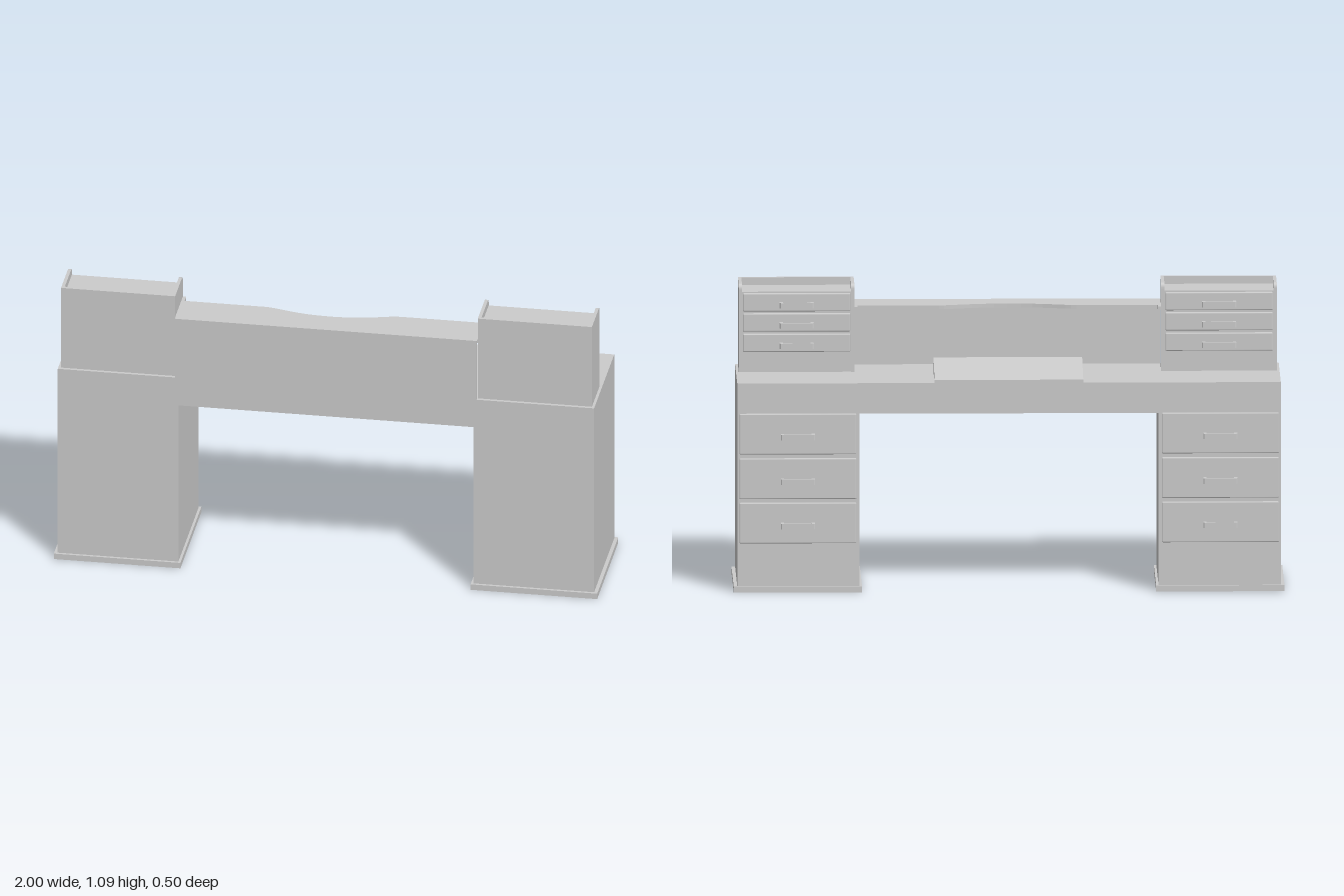
import * as THREE from 'three';
import { RoundedBoxGeometry } from 'three/addons/geometries/RoundedBoxGeometry.js';

const material = new THREE.MeshStandardMaterial({ color: 0xcccccc });

function part(parent, name, geometry, x = 0, y = 0, z = 0) {
  const mesh = new THREE.Mesh(geometry, material);
  mesh.name = name;
  mesh.position.set(x, y, z);
  parent.add(mesh);
  return mesh;
}

// Box given by its limits on each axis
function box(parent, name, [x0, x1], [y0, y1], [z0, z1]) {
  return part(parent, name, new THREE.BoxGeometry(x1 - x0, y1 - y0, z1 - z0),
    (x0 + x1) / 2, (y0 + y1) / 2, (z0 + z1) / 2);
}

const outline = (points) => new THREE.Shape(points.map(([a, b]) => new THREE.Vector2(a, b)));

function extrude(shape, depth) {
  return new THREE.ExtrudeGeometry(shape, { depth, bevelEnabled: false, curveSegments: 8 });
}

// Extrudes a (z, y) profile along x, centred on x = 0
const alongX = (shape, width) => extrude(shape, width).translate(0, 0, -width / 2).rotateY(-Math.PI / 2);

// Extrudes an (x, z) plan downwards from y = 0
const downwards = (shape, height) => extrude(shape, height).rotateX(Math.PI / 2);

// Bracket handle plan: two posts joined by a bar with chamfered corners
const handleGeometry = downwards(outline([
  [-0.062, 0], [-0.062, -0.026], [-0.058, -0.03], [0.058, -0.03], [0.062, -0.026], [0.062, 0],
  [0.05, 0], [0.05, -0.02], [-0.05, -0.02], [-0.05, 0],
]), 0.02).translate(0, 0.01, 0);

// Drawer front with its handle; zFront is the outer face
function drawer(parent, x, y0, y1, zFront, width) {
  const group = new THREE.Group();
  group.name = 'drawer';
  group.position.set(x, (y0 + y1) / 2, zFront);
  part(group, 'drawerFront', new RoundedBoxGeometry(width, y1 - y0, 0.018, 2, 0.004), 0, 0, 0.009);
  part(group, 'drawerHandle', handleGeometry, 0, -0.008, 0.001);
  parent.add(group);
}

// Small drawer unit standing on the desk top, with a railed tray on top
function cabinet(x) {
  const group = new THREE.Group();
  group.name = 'topCabinet';
  group.position.x = x;
  const half = 0.21, panel = 0.012;

  const side = new THREE.Shape();
  side.moveTo(0.228, 0.767);
  side.lineTo(0.057, 0.767);
  side.lineTo(0.057, 1.07);
  side.quadraticCurveTo(0.057, 1.09, 0.077, 1.09);
  side.lineTo(0.228, 1.09);
  for (const s of [-1, 1]) {
    part(group, 'cabinetSide', alongX(side, panel), s * (half - panel / 2));
  }
  box(group, 'cabinetBody', [-half + panel, half - panel], [0.767, 1.062], [0.059, 0.216]);
  box(group, 'cabinetBack', [-half + panel, half - panel], [0.767, 1.09], [0.216, 0.228]);
  for (const y of [0.842, 0.917, 0.991]) drawer(group, 0, y, y + 0.066, 0.047, 0.39);
  return group;
}

// Floor plinth and three drawers of one pedestal
function pedestalFittings(x) {
  const group = new THREE.Group();
  group.name = 'pedestal';
  group.position.x = x;
  box(group, 'plinth', [-0.233, 0.233], [0, 0.022], [-0.217, 0.25]);
  for (const y of [0.18, 0.343, 0.507]) drawer(group, 0, y, y + 0.149, -0.216, 0.425);
  return group;
}

export function createModel() {
  const model = new THREE.Group();
  model.name = 'desk';

  // Both pedestals and the top as one arch
  const arch = outline([
    [-0.987, 0.01], [-0.543, 0.01], [-0.543, 0.655], [0.543, 0.655],
    [0.543, 0.01], [0.987, 0.01], [0.987, 0.767], [-0.987, 0.767],
  ]);
  part(model, 'deskBody', extrude(arch, 0.447), 0, 0, -0.207);

  for (const s of [-1, 1]) {
    model.add(pedestalFittings(s * 0.767));
    model.add(cabinet(s * 0.767));
  }

  // Upright panel between the cabinets
  box(model, 'backPanel', [-0.555, 0.555], [0.767, 1.005], [0.228, 0.24]);

  // Shelf with stepped ends and a scooped middle
  const shelf = new THREE.Shape();
  shelf.moveTo(-0.557, 0.228);
  shelf.lineTo(-0.557, 0.055);
  shelf.lineTo(-0.545, 0.055);
  shelf.lineTo(-0.545, 0.09);
  shelf.lineTo(-0.25, 0.09);
  shelf.bezierCurveTo(-0.2, 0.09, -0.14, 0.13, 0, 0.13);
  shelf.bezierCurveTo(0.14, 0.13, 0.2, 0.09, 0.25, 0.09);
  shelf.lineTo(0.545, 0.09);
  shelf.lineTo(0.545, 0.055);
  shelf.lineTo(0.557, 0.055);
  shelf.lineTo(0.557, 0.228);
  part(model, 'shelf', downwards(shelf, 0.014), 0, 1.005, 0);

  // Sloped writing board with a small lip at its low edge
  const slope = outline([
    [0.058, 0.767], [0.053, 0.82], [-0.2, 0.773], [-0.202, 0.779], [-0.207, 0.778], [-0.207, 0.767],
  ]);
  part(model, 'writingSlope', alongX(slope, 0.54));

  return model;
}
